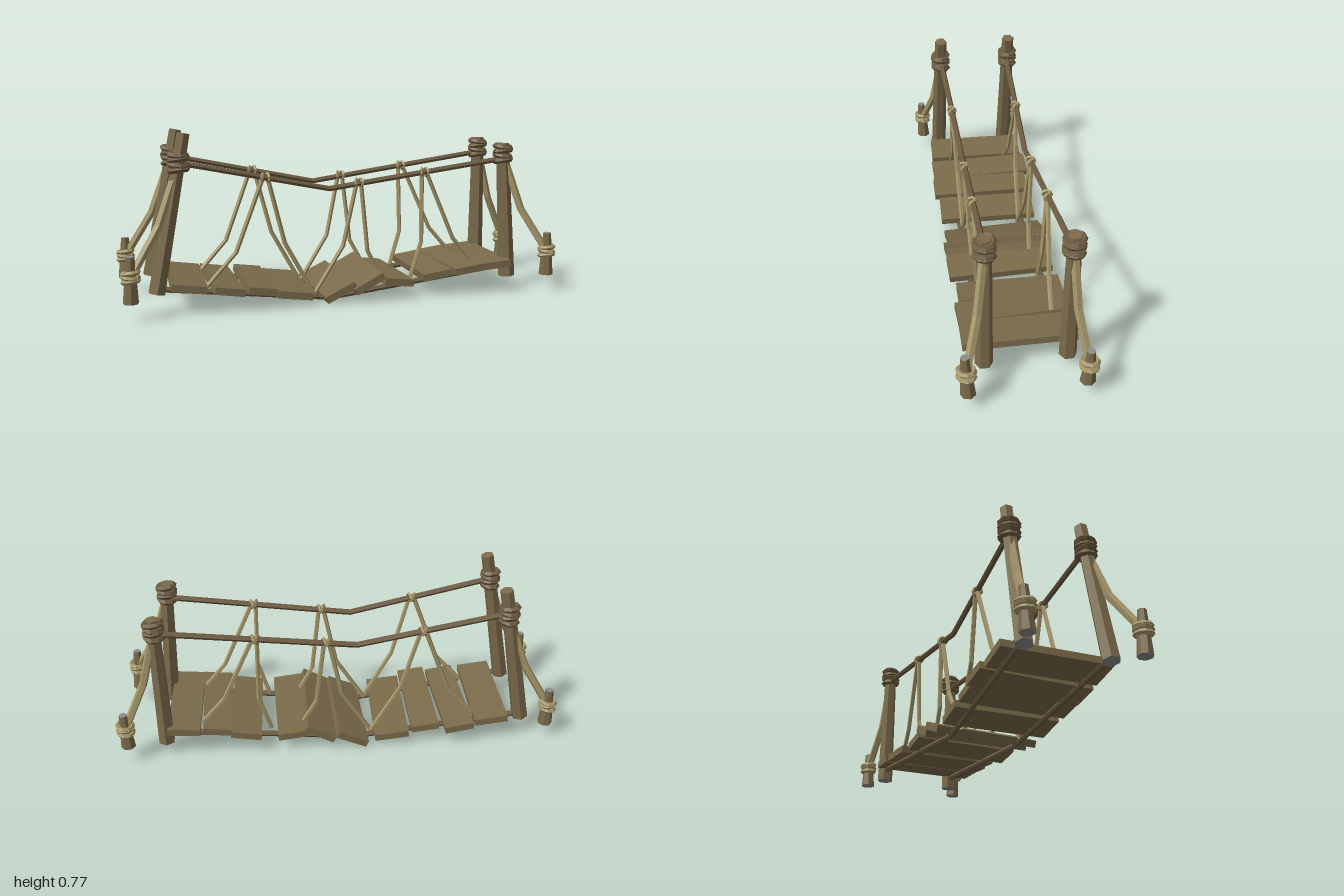
import * as THREE from 'three';

const V = (x, y, z) => new THREE.Vector3(x, y, z);
const UP = V(0, 1, 0);
const mat = (name, color) => {
  const m = new THREE.MeshStandardMaterial({ color, flatShading: true, side: THREE.DoubleSide });
  m.name = name;
  return m;
};

// Straight-sided path that keeps its corner points when swept
class Polyline extends THREE.Curve {
  constructor(points) { super(); this.points = points; }
  getUtoTmapping(u) { return u; }
  getPoint(t, target = new THREE.Vector3()) {
    const n = this.points.length - 1;
    const i = Math.min(Math.floor(t * n), n - 1);
    return target.lerpVectors(this.points[i], this.points[i + 1], t * n - i);
  }
}

export function createModel() {
  const model = new THREE.Group();
  model.name = 'ropeBridge';

  const wood = mat('wood', 0x7b6b4b);
  const darkRope = mat('darkRope', 0x6f5d43);
  const paleRope = mat('paleRope', 0xa6976a);
  const cutEnd = mat('cutEnd', 0x8c8c8c);

  const add = (name, geometry, material, parent = model) => {
    const mesh = new THREE.Mesh(geometry, material);
    mesh.name = name;
    parent.add(mesh);
    return mesh;
  };

  // Tapered pole from a to b
  const pole = (name, a, b, rBottom, rTop, sides, materials) => {
    const dir = b.clone().sub(a);
    const mesh = add(name, new THREE.CylinderGeometry(rTop, rBottom, dir.length(), sides), materials);
    mesh.position.copy(a).add(b).multiplyScalar(0.5);
    mesh.quaternion.setFromUnitVectors(UP, dir.normalize());
    return mesh;
  };

  const rope = (name, points, radius, material, sides = 5) =>
    add(name, new THREE.TubeGeometry(new Polyline(points), points.length - 1, radius, sides), material);

  // Stack of slightly tilted rope rings around a pole
  const wrap = (name, centre, radius, tube, offsets, material) => {
    const group = new THREE.Group();
    group.name = name;
    group.position.copy(centre);
    offsets.forEach((y, i) => {
      const ring = add('ring', new THREE.TorusGeometry(radius, tube, 5, 9), material, group);
      ring.position.y = y;
      ring.rotation.set(Math.PI / 2 + (i % 2 ? 0.12 : -0.1), i % 2 ? -0.1 : 0.12, 0);
    });
    model.add(group);
  };

  // Corner posts, with lashings, guy ropes and ground stakes
  const corners = [
    { foot: V(-0.845, 0.1, 0.16), top: V(-0.715, 0.77, 0.14), stake: V(-0.955, 0.085, 0.235), tip: V(-0.952, 0.28, 0.24) },
    { foot: V(-0.845, 0.1, -0.2), top: V(-0.715, 0.765, -0.2), stake: V(-0.955, 0.085, -0.24), tip: V(-0.952, 0.27, -0.25) },
    { foot: V(0.785, 0.07, 0.15), top: V(0.75, 0.695, 0.14), stake: V(0.945, 0.085, 0.235), tip: V(0.94, 0.283, 0.245) },
    { foot: V(0.785, 0.07, -0.2), top: V(0.785, 0.7, -0.195), stake: V(0.95, 0.085, -0.242), tip: V(0.955, 0.255, -0.245) },
  ];
  for (const { foot, top, stake, tip } of corners) {
    pole('post', foot, top, 0.038, 0.029, 6, [wood, wood, cutEnd]);
    const lashing = foot.clone().lerp(top, (0.645 - foot.y) / (top.y - foot.y));
    wrap('postLashing', lashing, 0.036, 0.013, [-0.028, -0.006, 0.016, 0.035], darkRope);

    pole('stake', stake, tip, 0.033, 0.018, 7, [wood, cutEnd, cutEnd]);
    const knot = stake.clone().lerp(tip, 0.55);
    wrap('stakeLashing', knot, 0.032, 0.011, [-0.014, 0.004, 0.02], paleRope);

    const middle = lashing.clone().lerp(knot, 0.5);
    middle.x -= Math.sign(foot.x) * 0.015;
    middle.z -= Math.sign(foot.z) * 0.01;
    middle.y = 0.39;
    rope('guyRope', [lashing, middle, knot], 0.018, paleRope);
  }

  // Ropes along both sides
  const sides = [
    { hand: [0.14, 0.122, 0.137], foot: [0.16, 0.125, 0.15] },
    { hand: [-0.195, -0.172, -0.195], foot: [-0.2, -0.178, -0.2] },
  ];
  const knots = [[-0.37, 0.572], [0.055, 0.535], [0.365, 0.573]];
  // Each hanger: knot index, then bend and foot as x, y
  const hangers = [
    [0, -0.5, 0.25, -0.63, 0.105], [0, -0.285, 0.28, -0.15, 0.035],
    [1, -0.015, 0.25, -0.15, 0.035], [1, 0.1, 0.22, 0.16, 0.11],
    [2, 0.36, 0.25, 0.31, 0.085], [2, 0.515, 0.26, 0.61, 0.15],
  ];
  for (const { hand, foot } of sides) {
    rope('handRope', [V(-0.73, 0.645, hand[0]), V(-0.08, 0.512, hand[1]), V(0.77, 0.627, hand[2])], 0.013, darkRope, 6);
    rope('footRope', [V(-0.84, 0.118, foot[0]), V(-0.08, 0.019, foot[1]), V(0.785, 0.125, foot[2])], 0.013, darkRope, 6);

    const zAt = (x) => x < -0.08
      ? THREE.MathUtils.mapLinear(x, -0.73, -0.08, hand[0], hand[1])
      : THREE.MathUtils.mapLinear(x, -0.08, 0.77, hand[1], hand[2]);
    for (const [k, bx, by, fx, fy] of hangers) {
      const [kx, ky] = knots[k];
      const z = zAt(kx);
      rope('hanger', [V(kx + Math.sign(bx - kx) * 0.01, ky, z), V(bx, by, z * 0.93), V(fx, fy, z * 0.9)], 0.0105, paleRope);
    }
    // Knots on the hand rope
    for (const [x, y] of knots) {
      for (const s of [-1, 1]) {
        const loop = add('knot', new THREE.TorusGeometry(0.018, 0.007, 4, 7), paleRope);
        loop.position.set(x + s * 0.01, y, zAt(x));
        loop.rotation.set(0, Math.PI / 2 + s * 0.35, s * 0.2);
      }
    }
  }

  // Deck planks: x start, x end, top y at each, z back, z front, yaw
  const planks = [
    [-0.78, -0.63, 0.146, 0.126, -0.258, 0.212, -0.04],
    [-0.61, -0.48, 0.124, 0.104, -0.272, 0.22, 0.01],
    [-0.46, -0.335, 0.116, 0.1, -0.245, 0.23, -0.02],
    [-0.325, -0.17, 0.085, 0.066, -0.25, 0.213, -0.04],
    [-0.12, 0.015, 0.042, 0.105, -0.258, 0.21, 0.02],
    [0.02, 0.148, 0.074, 0.142, -0.252, 0.23, -0.02],
    [0.148, 0.283, 0.114, 0.098, -0.245, 0.23, 0.01],
    [0.35, 0.485, 0.112, 0.132, -0.25, 0.21, -0.03],
    [0.485, 0.62, 0.135, 0.152, -0.238, 0.232, 0.02],
    [0.625, 0.77, 0.15, 0.162, -0.245, 0.232, -0.02],
  ];
  const thick = 0.032;
  for (const [x0, x1, y0, y1, z0, z1, yaw] of planks) {
    const length = Math.hypot(x1 - x0, y1 - y0);
    const plank = add('plank', new THREE.BoxGeometry(length, thick, z1 - z0), wood);
    plank.position.set((x0 + x1) / 2, (y0 + y1) / 2 - thick / 2, (z0 + z1) / 2);
    plank.rotation.set(0, yaw, Math.atan2(y1 - y0, x1 - x0));
  }

  return model;
}
